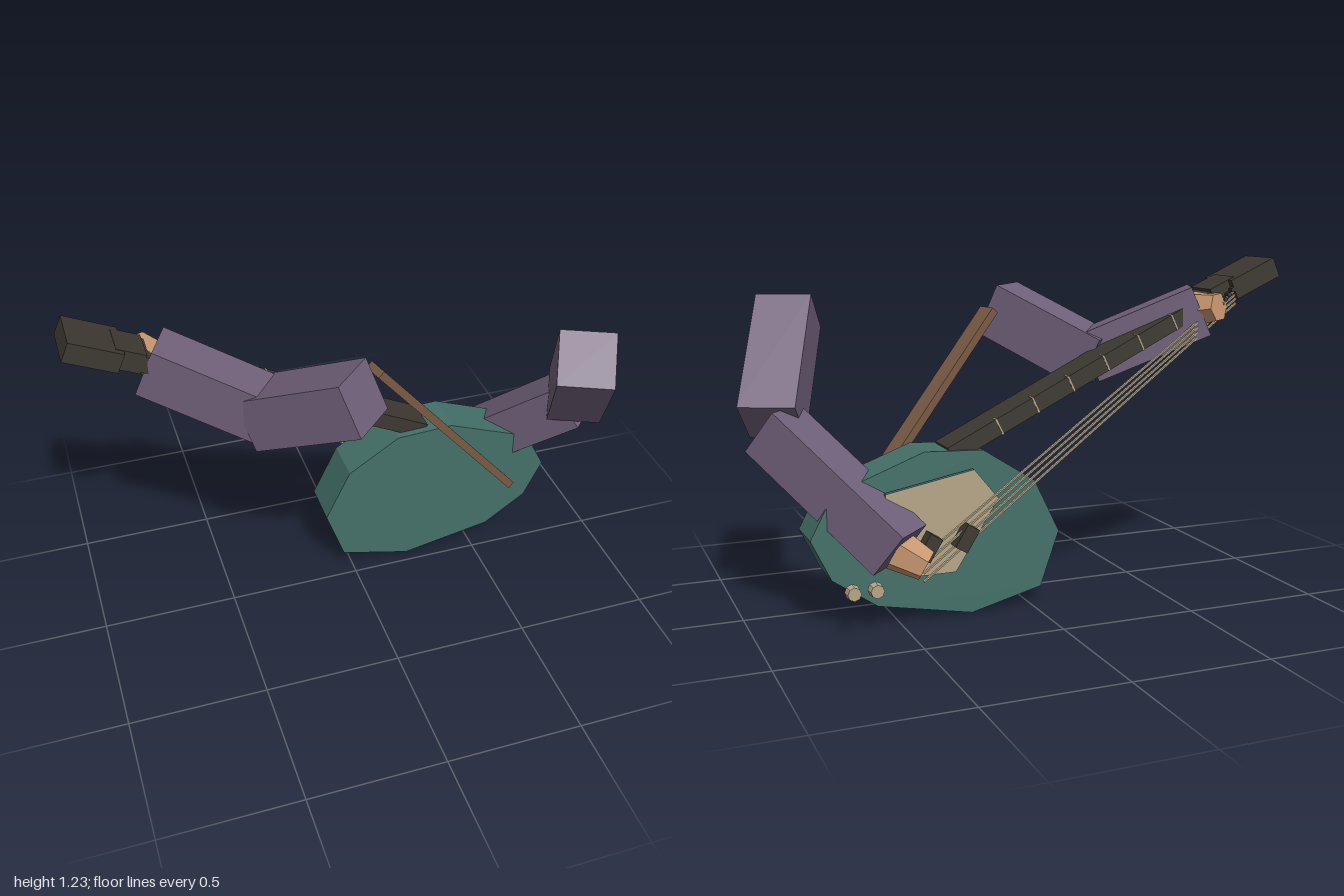
import * as THREE from 'three';

const mat = (name, color) => {
  const m = new THREE.MeshStandardMaterial({ color, flatShading: true });
  m.name = name;
  return m;
};

export function createModel() {
  const model = new THREE.Group();
  const teal = mat('teal lacquer', 0x447069);
  const dark = mat('dark wood', 0x3d3831);
  const cream = mat('cream', 0xb5a687);
  const skin = mat('skin', 0xc8966e);
  const sleeve = mat('purple sleeve', 0x70607a);
  const leather = mat('brown leather', 0x7a5a44);

  const V = (p) => new THREE.Vector3(...p);
  const add = (name, geometry, material) => {
    const mesh = new THREE.Mesh(geometry, material);
    mesh.name = name;
    model.add(mesh);
    return mesh;
  };
  // Box running between two points, its width kept level
  const beam = (name, from, to, width, height, material) => {
    const a = V(from), b = V(to);
    const m = add(name, new THREE.BoxGeometry(width, height, a.distanceTo(b)), material);
    m.position.copy(a).add(b).multiplyScalar(0.5);
    m.lookAt(b);
    return m;
  };
  // Faceted rod between two points
  const rod = (name, from, to, r0, r1, sides, material) => {
    const a = V(from), b = V(to);
    const m = add(name, new THREE.CylinderGeometry(r1, r0, a.distanceTo(b), sides), material);
    m.position.copy(a).add(b).multiplyScalar(0.5);
    m.quaternion.setFromUnitVectors(new THREE.Vector3(0, 1, 0), b.sub(a).normalize());
    return m;
  };
  const slab = (name, points, z, depth, material) => {
    const shape = new THREE.Shape(points.map(([x, y]) => new THREE.Vector2(x, y)));
    const m = add(name, new THREE.ExtrudeGeometry(shape, { depth, bevelEnabled: false }), material);
    m.position.z = z;
    return m;
  };

  // Instrument body and the plate on its playing side
  slab('body', [
    [-0.035, 0.07], [0.23, 0.003], [0.575, 0.07], [0.735, 0.18], [0.805, 0.325], [0.75, 0.43],
    [0.665, 0.5], [0.4, 0.6], [0.185, 0.59], [-0.01, 0.465], [-0.105, 0.27],
  ], -0.22, 0.174, teal);
  slab('facePlate', [
    [0.30, 0.17], [0.43, 0.17], [0.55, 0.21], [0.55, 0.47], [0.23, 0.53], [0.14, 0.42],
  ], -0.25, 0.018, [cream, teal]);

  // Neck, nut, headstock and frets
  const neckA = [-0.76, 1.1, -0.142], neckB = [0.3, 0.577, -0.142];
  beam('neck', neckA, neckB, 0.135, 0.06, dark);
  beam('nut', [-0.83, 1.133, -0.142], [-0.73, 1.088, -0.142], 0.14, 0.075, dark);
  beam('headstock', [-0.984, 1.2, -0.142], [-0.805, 1.12, -0.142], 0.185, 0.075, dark);
  for (let i = 0; i < 6; i++) {
    const p = V(neckA).lerp(V(neckB), 0.18 + i * 0.13);
    const fret = add('fret', new THREE.BoxGeometry(0.006, 0.064, 0.03), cream);
    fret.position.set(p.x, p.y, -0.196);
    fret.rotation.z = -0.458;
  }

  // Strings with their pegs
  for (let i = 0; i < 4; i++) {
    const y = 1.12 - i * 0.017;
    rod('string', [-0.82, y, -0.22], [0.43, 0.25 - i * 0.03, -0.285], 0.005, 0.005, 5, cream);
    rod('peg', [-0.8 + i * 0.015, y, -0.2], [-0.8 + i * 0.015, y, -0.235], 0.009, 0.009, 6, dark);
  }

  // Pickups and control knobs
  for (const [x, y] of [[0.275, 0.3], [0.41, 0.28]]) {
    const pickup = add('pickup', new THREE.BoxGeometry(0.05, 0.09, 0.05), dark);
    pickup.position.set(x, y, -0.279);
    pickup.rotation.z = 0.55;
  }
  for (const [x, y] of [[0.68, 0.152], [0.6, 0.152]]) {
    rod('knob', [x, y, -0.275], [x, y, -0.31], 0.027, 0.024, 8, cream);
  }

  // Shoulder strap
  beam('strap', [0.025, 1.045, 0.135], [0.63, 0.305, -0.01], 0.08, 0.03, leather);

  // Fretting arm
  beam('frettingUpperArm', [-0.355, 0.85, -0.01], [-0.065, 1.04, 0.28], 0.2, 0.2, sleeve);
  beam('frettingForearm', [-0.70, 1.045, -0.16], [-0.33, 0.87, 0.01], 0.17, 0.19, sleeve);
  rod('frettingHand', [-0.67, 1.04, -0.13], [-0.73, 1.06, -0.25], 0.075, 0.055, 6, skin);

  // Strumming arm
  beam('strummingUpperArm', [0.87, 0.69, 0.03], [0.74, 1.05, 0.31], 0.2, 0.205, sleeve);
  beam('strummingForearm', [0.87, 0.675, 0.02], [0.52, 0.29, -0.31], 0.18, 0.18, sleeve);
  rod('strummingHand', [0.53, 0.29, -0.3], [0.44, 0.235, -0.345], 0.075, 0.055, 6, skin);

  return model;
}
